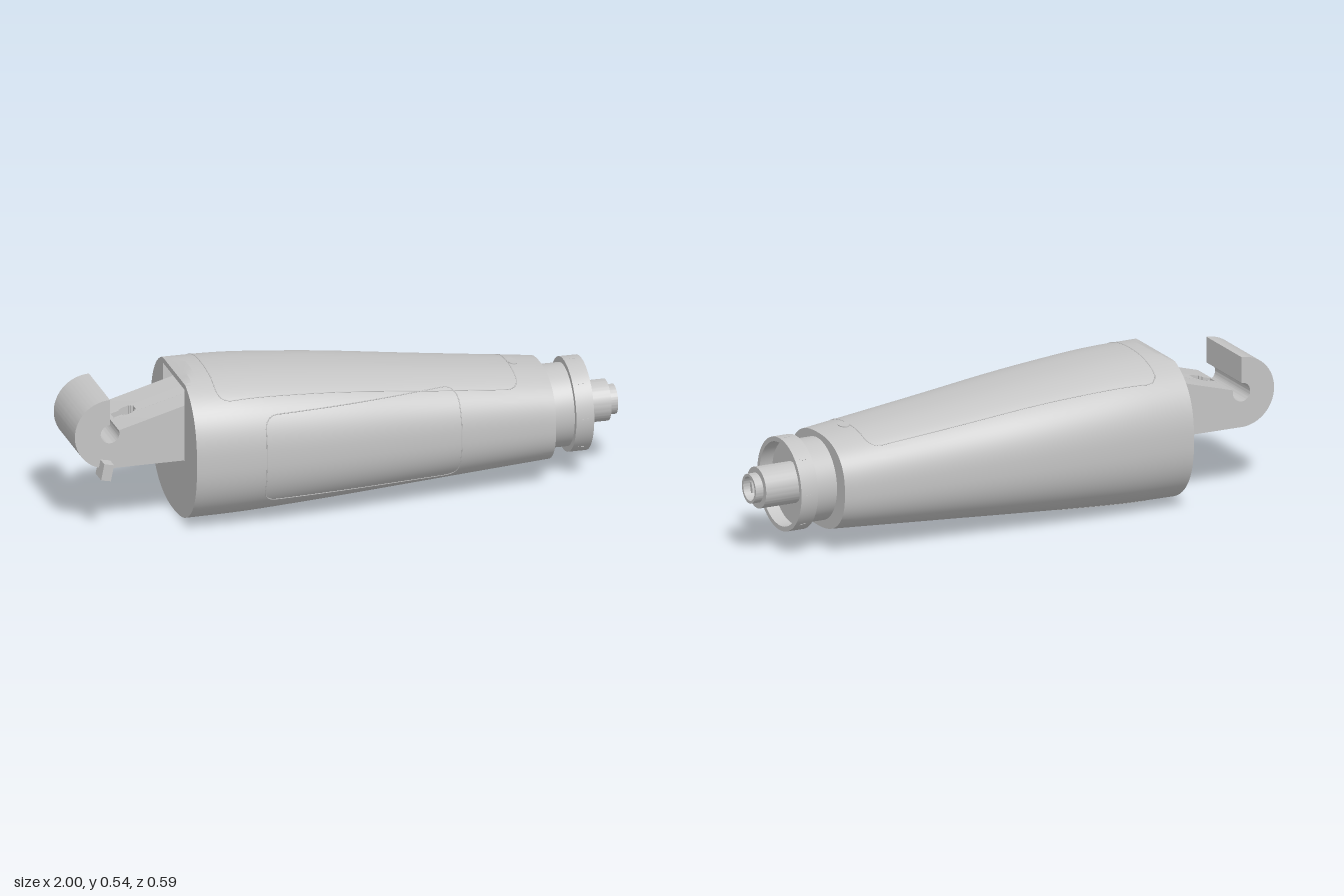
import * as THREE from 'three';
import { toCreasedNormals } from 'three/addons/utils/BufferGeometryUtils.js';

const X0 = -0.6, X1 = 0.73, AXIS_Y = 0.244, POWER = 2.4;

// Body measurements: x, top y, bottom y, half width
const STATIONS = [
  [-0.6, 0.542, 0.002, 0.293], [-0.4, 0.538, 0.006, 0.296], [-0.2, 0.521, 0.017, 0.291],
  [0, 0.5, 0.029, 0.278], [0.3, 0.463, 0.047, 0.248], [0.73, 0.412, 0.073, 0.208],
];
const curves = [1, 2, 3].map((k) => new THREE.SplineCurve(STATIONS.map((s) => new THREE.Vector2(s[0], s[k]))));
// Smooth [top, bottom, half width] at x, found by bisection on the curves
function measure(x) {
  let i = 0;
  while (i < STATIONS.length - 2 && x > STATIONS[i + 1][0]) i++;
  return curves.map((c) => {
    let lo = i / (STATIONS.length - 1), hi = (i + 1) / (STATIONS.length - 1);
    for (let n = 0; n < 24; n++) {
      const mid = (lo + hi) / 2;
      if (c.getPoint(mid).x < x) lo = mid; else hi = mid;
    }
    return c.getPoint(lo).y;
  });
}

// One rounded cross-section of the body as [z, y] pairs, top trimmed by the rear chamfer
function section(x, n = 96) {
  const [top, bottom, a] = measure(x);
  const b = (top - bottom) / 2, cy = (top + bottom) / 2, out = [];
  const bend = (v) => Math.sign(v) * Math.pow(Math.abs(v), 2 / POWER);
  for (let j = 0; j < n; j++) {
    const t = (j / n) * Math.PI * 2;
    out.push([a * bend(Math.cos(t)), Math.min(cy + b * bend(Math.sin(t)), 0.52 + (x - X0) * 0.5)]);
  }
  return out;
}

function bodyGeometry() {
  const xs = [X0, -0.575, -0.55], n = 96, pos = [], index = [];
  for (let i = 1; i <= 24; i++) xs.push(-0.55 + ((X1 + 0.55) * i) / 24);
  xs.forEach((x) => section(x, n).forEach(([z, y]) => pos.push(x, y, z)));
  for (let i = 0; i < xs.length - 1; i++) {
    for (let j = 0; j < n; j++) {
      const k = (j + 1) % n, a = i * n + j, b = a + n, c = i * n + k, d = c + n;
      index.push(a, b, c, b, d, c);
    }
  }
  const g = new THREE.BufferGeometry();
  g.setAttribute('position', new THREE.Float32BufferAttribute(pos, 3));
  g.setIndex(index);
  return toCreasedNormals(g, 0.3);
}

function capShape(x) {
  return new THREE.Shape(section(x).map(([z, y]) => new THREE.Vector2(z, y)));
}

// Points on the body surface
function onTopOrBottom(x, z, side) {
  const [top, bottom, a] = measure(x);
  const b = (top - bottom) / 2;
  const h = b * Math.pow(Math.max(0, 1 - Math.pow(Math.abs(z) / a, POWER)), 1 / POWER);
  return new THREE.Vector3(x, (top + bottom) / 2 + side * h, z);
}
function onFront(x, y) {
  const [top, bottom, a] = measure(x);
  const v = Math.abs(y - (top + bottom) / 2) / ((top - bottom) / 2);
  return new THREE.Vector3(x, y, a * Math.pow(Math.max(0, 1 - Math.pow(v, POWER)), 1 / POWER));
}

// Closed seam: rounded four-sided outline projected on the body
function seamGeometry(corners, r, project) {
  const p = corners.map(([u, v]) => new THREE.Vector2(u, v)), path = new THREE.Path();
  p.forEach((c, i) => {
    const before = p[(i + 3) % 4], after = p[(i + 1) % 4];
    const s = c.clone().add(before.clone().sub(c).setLength(r));
    const e = c.clone().add(after.clone().sub(c).setLength(r));
    if (i === 0) path.moveTo(s.x, s.y); else path.lineTo(s.x, s.y);
    path.quadraticCurveTo(c.x, c.y, e.x, e.y);
  });
  path.closePath();
  const pts = path.getSpacedPoints(120).slice(0, -1).map((q) => project(q.x, q.y));
  return new THREE.TubeGeometry(new THREE.CatmullRomCurve3(pts, true), 240, 0.002, 6, true);
}

// Hook and tongue outline; notch = [from x, to x] cut into the tongue's top
function hookShape(notch) {
  const s = new THREE.Shape(), topAt = (x) => 0.44 + (x + 0.6) * 0.28;
  s.moveTo(-0.45, 0.235);
  s.lineTo(-0.45, topAt(-0.45));
  if (notch) {
    s.lineTo(notch[1], topAt(notch[1]));
    s.lineTo(notch[1], 0.3);
    s.lineTo(notch[0], 0.3);
    s.lineTo(notch[0], topAt(notch[0]));
  }
  s.lineTo(-0.834, 0.374);
  s.absarc(-0.87, 0.362, 0.034, 0.31, -1.5 * Math.PI, true);
  s.lineTo(-0.87, 0.49);
  s.absarc(-0.87, 0.362, 0.128, Math.PI / 2, 1.5 * Math.PI, false);
  return s;
}

export function createModel() {
  const model = new THREE.Group();
  const grey = new THREE.MeshStandardMaterial({ color: 0xc4c4c4 });
  grey.name = 'light grey';
  const add = (name, geometry, parent = model) => {
    const m = new THREE.Mesh(geometry, grey);
    m.name = name;
    parent.add(m);
    return m;
  };

  // Tapered housing with flat ends
  add('housing', bodyGeometry());
  add('frontCap', new THREE.ShapeGeometry(capShape(X1)).rotateY(Math.PI / 2).translate(X1, 0, 0));
  const rear = capShape(X0);
  rear.holes.push(new THREE.Path([[-0.135, 0.232], [-0.135, 0.5], [0.135, 0.5], [0.135, 0.232]]
    .map(([z, y]) => new THREE.Vector2(z, y))));
  add('rearCap', new THREE.ShapeGeometry(rear).rotateY(-Math.PI / 2).translate(X0, 0, 0));

  // Pocket in the rear cap, seen from inside
  const pocket = new THREE.BoxGeometry(0.14, 0.268, 0.27).scale(-1, 1, 1);
  pocket.computeVertexNormals();
  add('rearPocket', pocket.translate(X0 + 0.07, 0.366, 0));

  // Hook, in slices across its width so that the tongue has a keyhole slot
  const hook = new THREE.Group();
  hook.name = 'hook';
  model.add(hook);
  const slice = (z0, z1, notch) => add('hookSlice', toCreasedNormals(
    new THREE.ExtrudeGeometry(hookShape(notch), { depth: z1 - z0, bevelEnabled: false, curveSegments: 32 })
      .translate(0, 0, z0), 0.5), hook);
  slice(-0.019, 0.019, [-0.825, -0.743]);
  [[0.019, 0.027, [-0.795, -0.75]], [0.027, 0.033, [-0.785, -0.757]], [0.033, 0.133, null]].forEach(([a, b, notch]) => {
    slice(a, b, notch);
    slice(-b, -a, notch);
  });
  const lug = add('hookLug', new THREE.BoxGeometry(0.036, 0.06, 0.07), hook);
  lug.position.set(-0.893, 0.238, 0.147);
  lug.rotation.z = -0.2;

  // Neck, hollow collar, shaft and socket turned as one profile
  const profile = [[0.148, 0.72], [0.148, 0.815], [0.168, 0.815], [0.168, 0.88], [0.151, 0.88], [0.151, 0.83],
    [0.074, 0.83], [0.074, 0.97], [0.053, 0.97], [0.053, 1], [0.043, 1], [0.043, 0.94], [0.0001, 0.94]];
  const turned = new THREE.LatheGeometry(profile.map(([r, x]) => new THREE.Vector2(r, x)), 72);
  add('connector', toCreasedNormals(turned.rotateZ(-Math.PI / 2).translate(0, AXIS_Y, 0), 0.5));

  // Small marks around the collar
  for (let i = 0; i < 8; i++) {
    const t = (i / 8) * Math.PI * 2;
    const mark = add('collarMark', new THREE.BoxGeometry(0.026, 0.003, 0.006));
    mark.position.set(0.848, AXIS_Y + 0.1675 * Math.cos(t), 0.1675 * Math.sin(t));
    mark.rotation.x = t;
  }

  // Contacts inside the socket
  [-1, 1].forEach((s) => {
    const pin = add('contactBlade', new THREE.BoxGeometry(0.04, 0.04, 0.014));
    pin.position.set(0.96, AXIS_Y - 0.004, s * 0.021);
    pin.rotation.x = s * 0.25;
  });
  add('contactPin', new THREE.CylinderGeometry(0.009, 0.009, 0.04, 16).rotateZ(-Math.PI / 2))
    .position.set(0.96, AXIS_Y + 0.029, 0);

  // Panel seams on the top, front side and underside
  add('topPanelSeam', seamGeometry([[-0.5, -0.222], [0.61, -0.163], [0.61, 0.163], [-0.5, 0.222]], 0.05,
    (x, z) => onTopOrBottom(x, z, 1)));
  add('sidePanelSeam', seamGeometry([[-0.345, 0.098], [0.378, 0.098], [0.378, 0.422], [-0.345, 0.422]], 0.05,
    onFront));
  add('undersidePanelSeam', seamGeometry([[-0.51, -0.122], [-0.15, -0.122], [-0.15, 0.122], [-0.51, 0.122]], 0.03,
    (x, z) => onTopOrBottom(x, z, -1)));

  // Release button at the small end of the top panel
  const button = add('releaseButton', new THREE.CylinderGeometry(0.03, 0.03, 0.006, 24));
  button.scale.x = 0.6;
  button.position.copy(onTopOrBottom(0.628, 0, 1));
  button.rotation.z = -0.12;

  return model;
}
